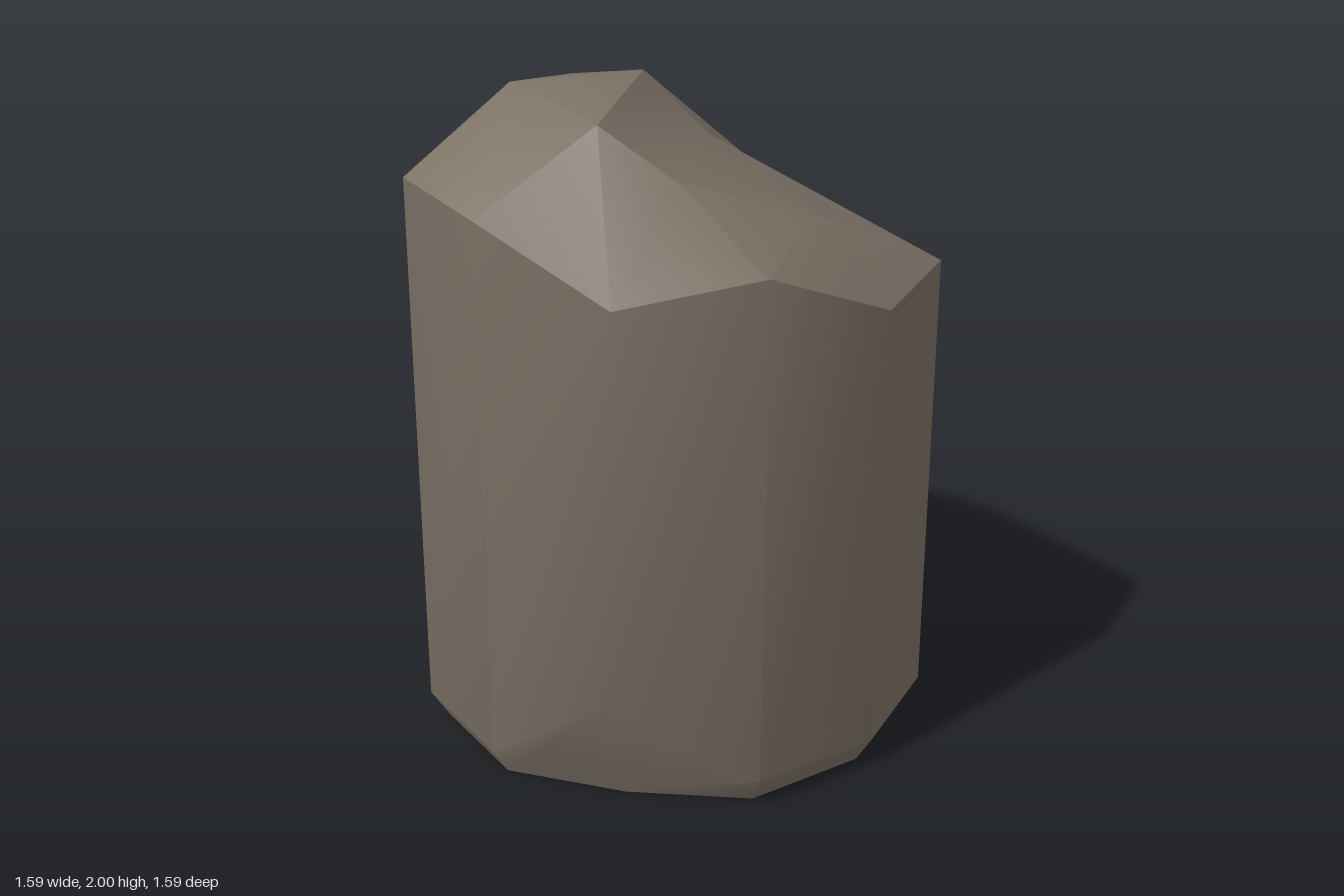
import * as THREE from 'three';
import { toCreasedNormals } from 'three/addons/utils/BufferGeometryUtils.js';

const SIDES = 12;
const RADIUS = 0.795;

// One ring of corners, from given heights and radii
function ring(heights, radii) {
  return heights.map((y, i) => {
    const a = (i / SIDES) * Math.PI * 2;
    return new THREE.Vector3(Math.cos(a) * radii[i], y, Math.sin(a) * radii[i]);
  });
}

// Triangles turned to face away from the middle of the boulder
function facet(triangles) {
  const middle = new THREE.Vector3(0, 0.85, 0);
  const points = [];
  for (const [a, b, c] of triangles) {
    const normal = b.clone().sub(a).cross(c.clone().sub(a));
    const out = a.clone().add(b).add(c).divideScalar(3).sub(middle);
    points.push(...(normal.dot(out) < 0 ? [a, c, b] : [a, b, c]));
  }
  return new THREE.BufferGeometry().setFromPoints(points);
}

// Hard, flat panels towards the back; soft blends at the front
function flattenBack(geometry) {
  const p = geometry.attributes.position;
  const n = geometry.attributes.normal;
  const tri = new THREE.Triangle();
  const mid = new THREE.Vector3();
  const flat = new THREE.Vector3();
  for (let i = 0; i < p.count; i += 3) {
    tri.setFromAttributeAndIndices(p, i, i + 1, i + 2);
    tri.getMidpoint(mid);
    if (mid.z > -0.12 || mid.x < -0.5) continue;
    tri.getNormal(flat);
    for (let k = 0; k < 3; k++) n.setXYZ(i + k, flat.x, flat.y, flat.z);
  }
  return geometry;
}

export function createModel() {
  const group = new THREE.Group();
  group.name = 'boulder';
  const stone = new THREE.MeshStandardMaterial({ color: 0x7a7064 });
  stone.name = 'stone';

  // Broken upper rim, lower edge and chipped base
  const full = Array(SIDES).fill(RADIUS);
  const rim = ring([1.44, 1.6, 1.52, 1.71, 1.74, 1.57, 1.6, 1.56, 1.28, 1.17, 1.07, 1.47], full);
  const low = ring([0.09, 0.09, 0.36, 0.09, 0.09, 0.09, 0.09, 0.23, 0.15, 0.09, 0.09, 0.09], full);
  const base = ring(Array(SIDES).fill(0),
    [0.74, 0.74, 0.68, 0.74, 0.74, 0.74, 0.74, 0.55, 0.55, 0.74, 0.74, 0.74]);
  const floor = new THREE.Vector3(0, 0, 0);

  // Peaks of the crown
  const v = (x, y, z) => new THREE.Vector3(x, y, z);
  const peak = {
    a: v(-0.03, 1.6, -0.47), b: v(-0.25, 1.85, -0.27), c: v(-0.04, 2, 0.08),
    d: v(0.1, 1.81, -0.05), e: v(-0.31, 1.97, 0.35), f: v(0.14, 1.93, 0.46),
    g: v(0.33, 1.79, 0.36), h: v(-0.4, 1.93, 0), i: v(0.57, 1.68, 0.06),
  };

  // Crown facets: numbers are rim corners, letters are peaks
  const crown = ('9 10 a,10 11 a,8 9 a,7 8 a,7 a b,7 b h,6 7 h,6 h e,5 6 e,4 5 e,' +
    '3 4 e,3 e f,2 3 f,2 f g,1 2 g,1 g i,0 1 i,11 0 i,11 i d,11 d a,' +
    'a b c,a c d,b h c,h e c,e f c,c f d,d f g,d g i')
    .split(',').map((t) => t.split(' ').map((k) => peak[k] ?? rim[+k]));

  // Panels, lower edge and underside, with a notch in one panel
  const notchTop = v(0.545, 0.28, -0.545);
  const notchIn = v(0.31, 0, -0.31);
  const body = [];
  for (let i = 0; i < SIDES; i++) {
    const j = (i + 1) % SIDES;
    if (i === 10) {
      body.push([rim[i], rim[j], notchTop]);
      for (const k of [i, j]) {
        body.push([rim[k], low[k], notchTop], [notchTop, low[k], notchIn],
          [low[k], base[k], notchIn], [base[k], notchIn, floor]);
      }
    } else {
      body.push([rim[i], rim[j], low[j]], [rim[i], low[j], low[i]],
        [low[i], low[j], base[j]], [low[i], base[j], base[i]],
        [base[i], base[j], floor]);
    }
  }

  const geometry = flattenBack(toCreasedNormals(facet([...crown, ...body]), 0.6));
  const mesh = new THREE.Mesh(geometry, stone);
  mesh.name = 'rock';
  group.add(mesh);
  return group;
}
